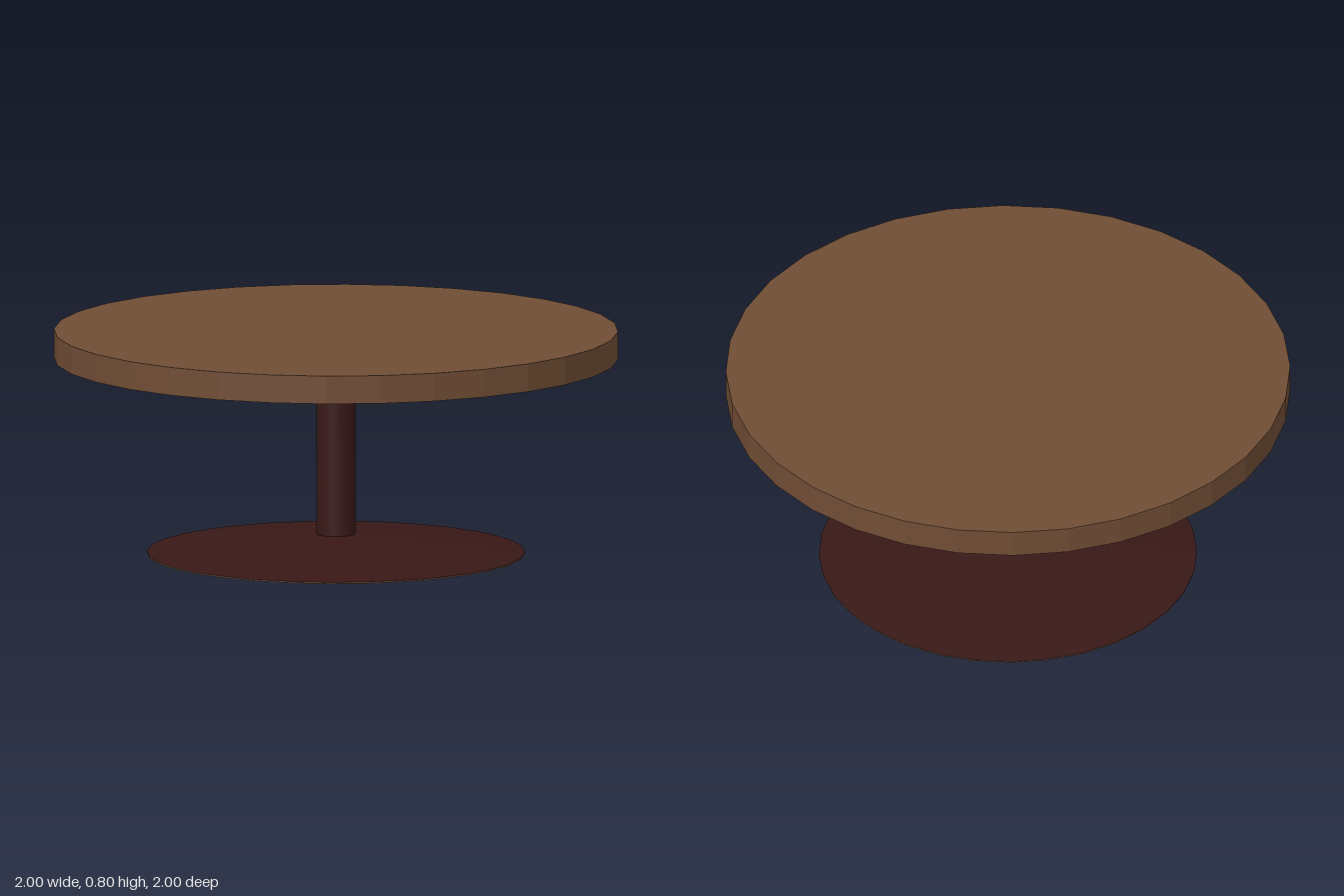
import * as THREE from 'three';
import { toCreasedNormals } from 'three/addons/utils/BufferGeometryUtils.js';

const SIDES = 32;

export function createModel() {
  const table = new THREE.Group();
  table.name = 'roundPedestalTable';
  const wood = new THREE.MeshStandardMaterial({ color: 0x704d35, flatShading: true });
  const darkWood = new THREE.MeshStandardMaterial({ color: 0x381817 });

  const add = (name, geometry, material, y = 0) => {
    const mesh = new THREE.Mesh(geometry, material);
    mesh.name = name;
    mesh.position.y = y;
    table.add(mesh);
  };

  // Faceted round top
  add('tableTop', new THREE.CylinderGeometry(1, 1, 0.1, SIDES), wood, 0.75);

  // Turned pedestal: sloping foot, column and flared support plate
  const profile = [
    [0.67, 0.005], [0.07, 0.07], [0.07, 0.615],
    [0.12, 0.632], [0.315, 0.665], [0.315, 0.7],
  ].map(([r, y]) => new THREE.Vector2(r, y));
  add('pedestal', toCreasedNormals(new THREE.LatheGeometry(profile, SIDES), 0.6), darkWood);

  // Thin pad closing the underside of the foot
  add('footPad', new THREE.CylinderGeometry(0.67, 0.67, 0.005, SIDES), wood, 0.0025);

  return table;
}
